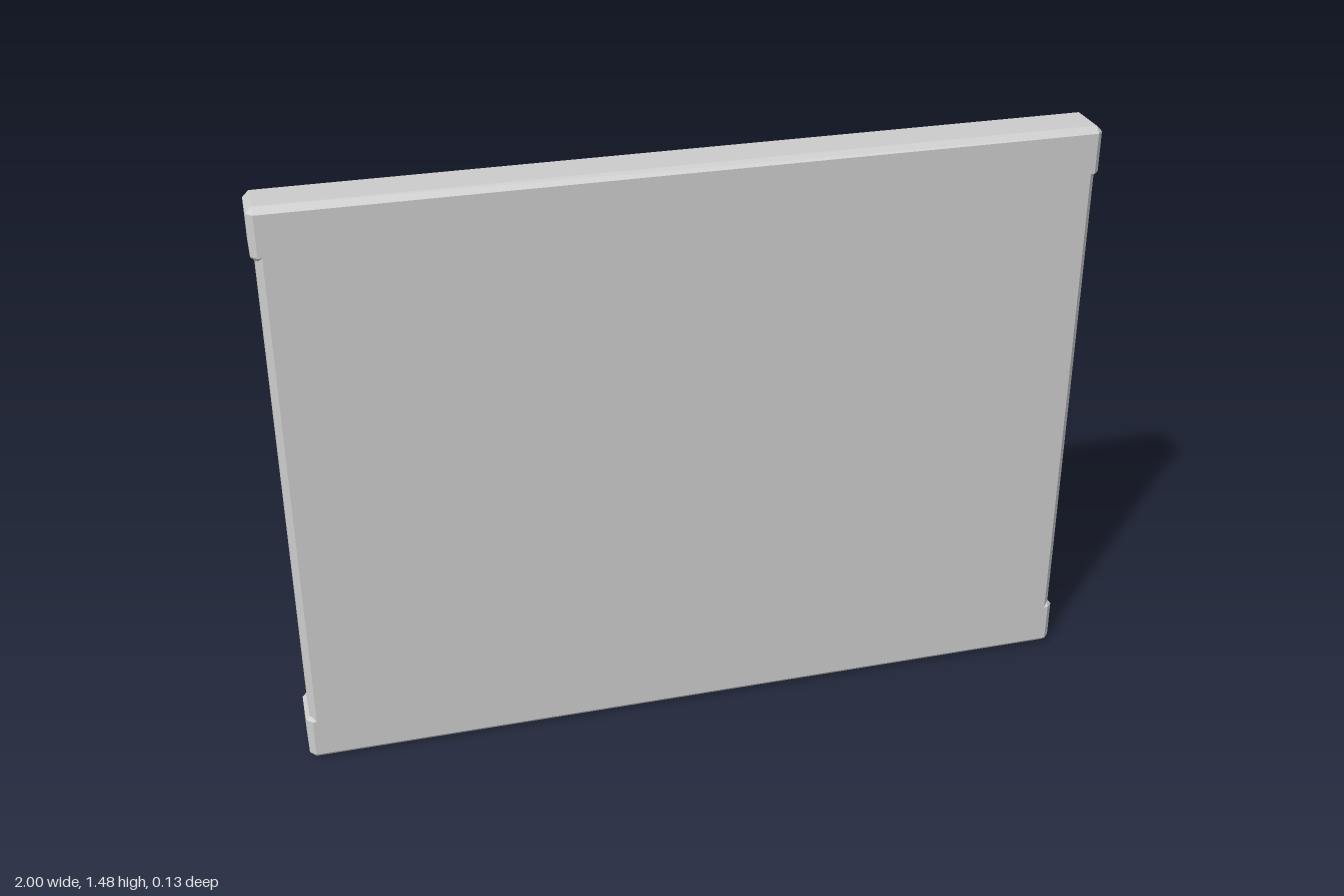
import * as THREE from 'three';
import { ConvexGeometry } from 'three/addons/geometries/ConvexGeometry.js';

const H = 1.475;       // overall height
const D = 0.13;        // overall depth
const RAIL = 0.13;     // frame bar height
const C = 0.015;       // chamfer
const material = new THREE.MeshStandardMaterial({ color: 0xcccccc, flatShading: true });

// Box with every edge chamfered: the hull of three inset points per corner
function chamferBox(w, h, d, c = C) {
  const points = [];
  for (const sx of [-1, 1]) for (const sy of [-1, 1]) for (const sz of [-1, 1]) {
    const x = w / 2, y = h / 2, z = d / 2;
    for (const [px, py, pz] of [[x, y - c, z - c], [x - c, y, z - c], [x - c, y - c, z]]) {
      points.push(new THREE.Vector3(sx * px, sy * py, sz * pz));
    }
  }
  return new ConvexGeometry(points);
}

function add(group, name, geometry, x, y, z) {
  const mesh = new THREE.Mesh(geometry, material);
  mesh.name = name;
  mesh.position.set(x, y, z);
  group.add(mesh);
}

export function createModel() {
  const model = new THREE.Group();
  model.name = 'framedBoard';

  // Frame: full-width rails, with slightly inset stiles between them
  const rail = chamferBox(2, RAIL, D);
  add(model, 'bottomRail', rail, 0, RAIL / 2, 0);
  add(model, 'topRail', rail, 0, H - RAIL / 2, 0);
  const stile = chamferBox(0.12, H - 2 * (RAIL - 2 * C), D);
  add(model, 'leftStile', stile, 0.93, H / 2, 0);
  add(model, 'rightStile', stile, -0.93, H / 2, 0);

  // Panel: flush with the frame in front, recessed at the back
  const floorZ = -0.005;
  const depth = D / 2 - floorZ;
  add(model, 'panel', new THREE.BoxGeometry(1.77, H - 2 * (RAIL - C), depth), 0, H / 2, floorZ + depth / 2);

  // Thin plates on the recessed back: x min, x max, y min, y max
  const plates = [
    [0, 0.45, 0.74, 1.315],
    [-0.75, -0.2, 0.62, 1.31],
    [0.21, 0.72, 0.2, 0.6],
    [-0.51, -0.08, 0.14, 0.595],
  ];
  const thick = 0.016;
  plates.forEach(([x0, x1, y0, y1], i) => {
    add(model, `backPlate${i + 1}`, new THREE.BoxGeometry(x1 - x0, y1 - y0, thick),
      (x0 + x1) / 2, (y0 + y1) / 2, floorZ - thick / 2);
  });

  return model;
}
